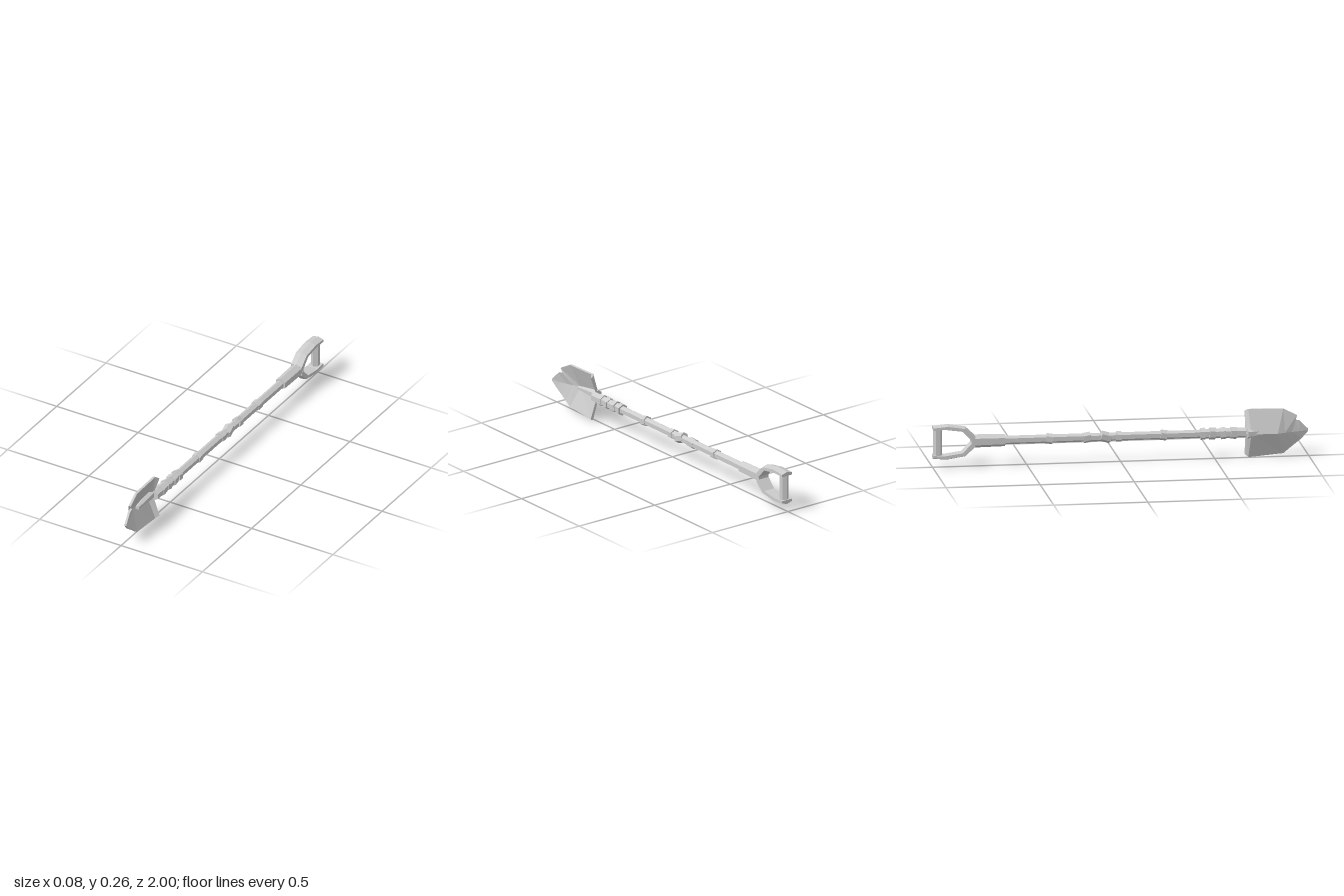
import * as THREE from 'three';

const CX = 0.004, CY = 0.136; // axis of the shaft
const mat = new THREE.MeshStandardMaterial({ color: 0xcccccc, flatShading: true });

function addMesh(parent, name, geometry) {
  const mesh = new THREE.Mesh(geometry, mat);
  mesh.name = name;
  parent.add(mesh);
  return mesh;
}

// Closed skin over rings of [x, y, z] points, counter-clockwise about the travel direction
function loft(rings) {
  const n = rings[0].length, last = rings.length - 1, pos = [];
  const tri = (a, b, c) => pos.push(...a, ...b, ...c);
  for (let r = 0; r < last; r++) {
    for (let i = 0; i < n; i++) {
      const j = (i + 1) % n;
      tri(rings[r][i], rings[r][j], rings[r + 1][j]);
      tri(rings[r][i], rings[r + 1][j], rings[r + 1][i]);
    }
  }
  for (let i = 1; i < n - 1; i++) {
    tri(rings[0][0], rings[0][i + 1], rings[0][i]);
    tri(rings[last][0], rings[last][i], rings[last][i + 1]);
  }
  const g = new THREE.BufferGeometry();
  g.setAttribute('position', new THREE.Float32BufferAttribute(pos, 3));
  g.computeVertexNormals();
  return g;
}

// Six-sided rod section along z, ridges up and down
function rod(parent, name, z0, z1, r0, r1 = r0) {
  const g = new THREE.CylinderGeometry(r1, r0, z1 - z0, 6).rotateX(Math.PI / 2);
  const mesh = addMesh(parent, name, g);
  mesh.position.set(CX, CY, (z0 + z1) / 2);
  return mesh;
}

function makeBlade(parent) {
  // ridge [z, x], top edge [z, y, x], bottom edge [z, y, x]; upper side has a notch
  const stations = [
    [[0.663, -0.02], [0.663, 0.25, 0.021], [0.663, 0.016, 0.021]],
    [[0.69, -0.04], [0.68, 0.262, 0.005], [0.68, 0.002, 0.005]],
    [[0.83, -0.04], [0.866, 0.258, 0.005], [0.866, 0.018, 0.005]],
    [[0.87, -0.024], [0.94, 0.22, 0.01], [0.90, 0.045, 0.008]],
    [[0.91, -0.008], [0.923, 0.197, 0.01], [0.925, 0.064, 0.01]],
    [[0.95, 0.006], [0.953, 0.19, 0.014], [0.963, 0.092, 0.014]],
    [[1.0, 0.021], [0.998, 0.144, 0.021], [0.996, 0.126, 0.021]],
  ];
  const t = 0.012;
  addMesh(parent, 'blade', loft(stations.map(([[rz, rx], [tz, ty, tx], [bz, by, bx]]) => [
    [rx, 0.133, rz], [bx, by, bz], [bx + t, by + 0.002, bz],
    [rx + t, 0.133, rz], [tx + t, ty - 0.002, tz], [tx, ty, tz],
  ])));
}

function makeHandle(parent) {
  // Sleeve over the end of the shaft
  rod(parent, 'handleSleeve', -0.795, -0.615, 0.036, 0.033);

  // Arm stations: [outer z, outer height, inner z, inner height]
  const path = [
    [-0.775, 0.033, -0.785, -0.002],
    [-0.827, 0.081, -0.843, 0.058],
    [-0.92, 0.096, -0.935, 0.071],
    [-0.998, 0.09, -0.998, 0.068],
  ];
  const w = 0.033;
  const arm = loft(path.map(([zo, yo, zi, yi]) => [
    [0, yo, zo], [w, yo - 0.009, zo], [w, yi, zi], [-w, yi, zi], [-w, yo - 0.009, zo],
  ]));
  for (const [name, turn] of [['upperArm', 0], ['lowerArm', Math.PI]]) {
    const mesh = addMesh(parent, name, arm);
    mesh.position.set(CX, CY, 0);
    mesh.rotation.z = turn;
  }

  // Upright grip between the arms
  addMesh(parent, 'grip', new THREE.CylinderGeometry(0.024, 0.024, 0.15, 6))
    .position.set(CX, CY, -0.972);
}

export function createModel() {
  const group = new THREE.Group();
  group.name = 'shovel';

  makeBlade(group);

  // Shaft, its thicker socket, and the spike lying on the blade
  rod(group, 'shaft', -0.62, 0.45, 0.023, 0.022);
  rod(group, 'socket', 0.43, 0.67, 0.025, 0.028);
  const spike = rod(group, 'socketTip', 0.67, 0.82, 0.028, 0.011);
  spike.geometry.translate(0, 0, -0.075);
  spike.position.z = 0.82;
  spike.rotation.y = 0.09;
  spike.position.x = CX - 0.013;

  // Slightly crooked bindings: [centre z, width, tilt about x, tilt about y]
  const bindings = [
    [0.6, 0.034, 0.08, 0.06], [0.545, 0.03, -0.12, -0.1], [0.487, 0.034, 0.1, 0.08],
    [0.437, 0.026, -0.05, -0.05], [0.228, 0.034, 0.18, 0.05], [-0.01, 0.03, 0.05, -0.05],
    [-0.08, 0.055, 0.3, 0.12], [-0.18, 0.04, -0.15, 0.1], [-0.378, 0.036, 0.15, -0.1],
  ];
  for (const [z, width, rx, ry] of bindings) {
    const band = rod(group, 'binding', z - width / 2, z + width / 2, z > 0.4 ? 0.032 : 0.028);
    band.rotation.set(rx, ry, 0);
  }

  makeHandle(group);
  return group;
}
